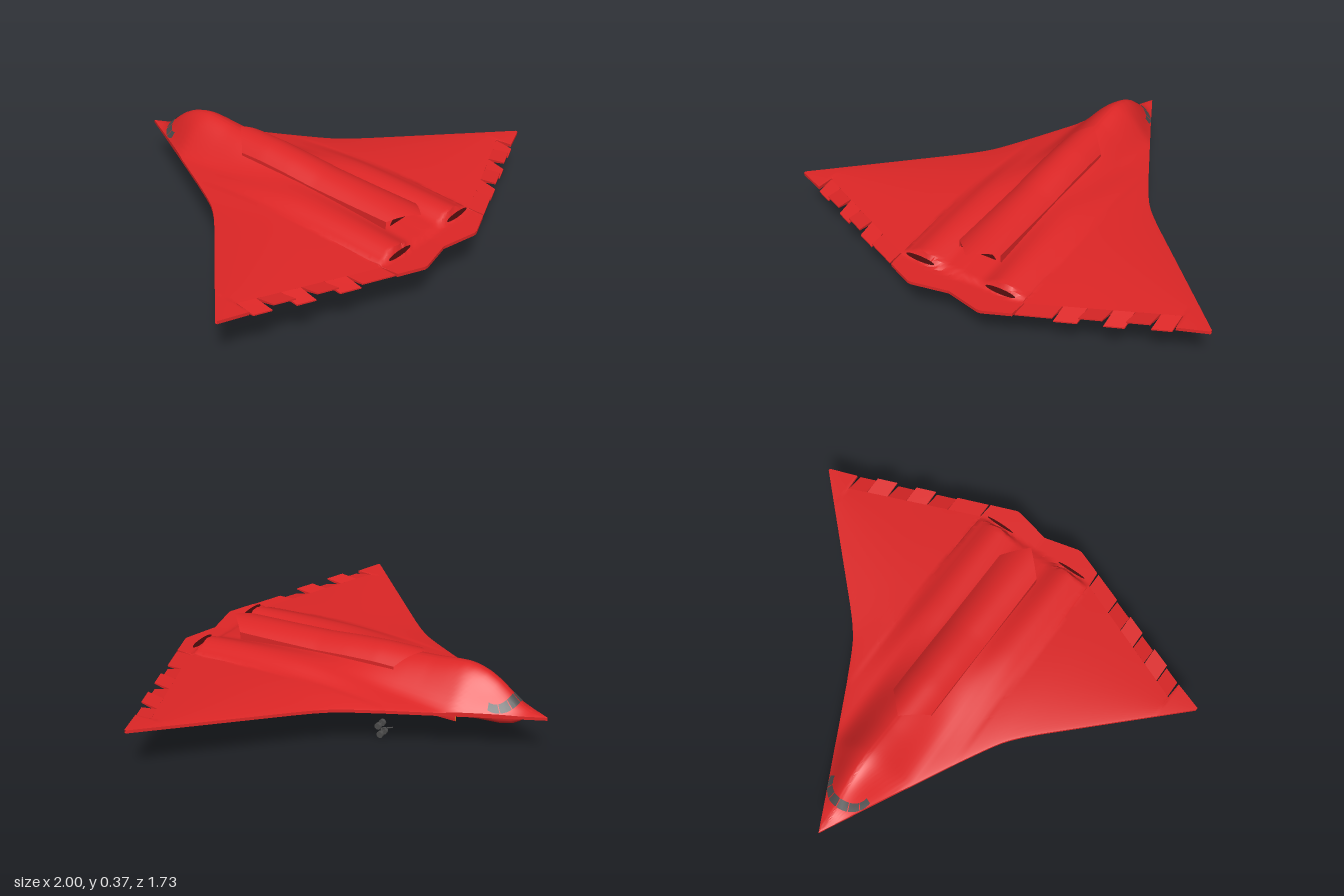
import * as THREE from 'three';
import { toCreasedNormals } from 'three/addons/utils/BufferGeometryUtils.js';

const { smoothstep } = THREE.MathUtils;
const paint = (color) => new THREE.MeshStandardMaterial({ color, side: THREE.DoubleSide });
const RED = paint(0xdd2626), DARK = paint(0x5a1010), GREY = paint(0x4c4c4c), YELLOW = paint(0xc8b820);

// Piecewise-linear lookup through [position, value] pairs
function lookup(points, t) {
  if (t <= points[0][0]) return points[0][1];
  for (let i = 1; i < points.length; i++) {
    const [a, va] = points[i - 1], [b, vb] = points[i];
    if (t <= b) return va + (vb - va) * (t - a) / (b - a);
  }
  return points[points.length - 1][1];
}

// Skin over a row of equal-length rings; closed rings wrap round, caps fill the ends
function loft(rings, { closed = true, caps = false, crease = 0.6 } = {}) {
  const n = rings[0].length, index = [], pos = rings.flat(2);
  for (let i = 0; i < rings.length - 1; i++) {
    for (let j = 0; j < (closed ? n : n - 1); j++) {
      const a = i * n + j, b = i * n + (j + 1) % n;
      index.push(a, b, a + n, b, b + n, a + n);
    }
  }
  if (caps) {
    const last = (rings.length - 1) * n;
    for (let j = 1; j < n - 1; j++) index.push(0, j + 1, j, last, last + j, last + j + 1);
  }
  const g = new THREE.BufferGeometry();
  g.setAttribute('position', new THREE.Float32BufferAttribute(pos, 3));
  g.setIndex(index);
  return toCreasedNormals(g, crease);
}

// Planform: leading and trailing edge by distance from the centreline
const LEAD = [[0, -0.87], [0.1, -0.67], [0.2, -0.475], [0.3, -0.28], [0.37, -0.15],
  [0.41, -0.085], [0.46, -0.025], [0.52, 0.037], [1, 0.51]];
const TRAIL = [[0, 0.82], [0.17, 0.86], [0.293, 0.81], [0.298, 0.735], [0.87, 0.49], [0.876, 0.566], [1, 0.52]];
const LEAD_X = LEAD.map(([x, z]) => [z, x]);
const hinge = (x) => 0.735 - (x - 0.298) * 0.428;
const trailLine = (x) => 0.81 - (x - 0.293) * 0.41;

// Centreline heights of the body and of the spine fairing
const BODY = [[-0.87, 0.21], [-0.79, 0.215], [-0.75, 0.23], [-0.7, 0.27], [-0.65, 0.305], [-0.6, 0.33], [-0.55, 0.344],
  [-0.5, 0.35], [-0.45, 0.347], [-0.35, 0.337], [-0.24, 0.333], [0.2, 0.3], [0.6, 0.265], [0.72, 0.255], [0.82, 0.25]];
const SPINE = [[-0.3, 0.367], [-0.1, 0.362], [0.05, 0.35], [0.2, 0.334], [0.4, 0.322], [0.7, 0.306]];

const underside = (x) => 0.193 + 0.027 * Math.abs(x);
const hump = (d) => Math.abs(d) < 1 ? (1 - d * d) ** 2 : 0;

// Height of the upper skin: aerofoil + cockpit dome + engine humps
function topSkin(xs, z) {
  const x = Math.abs(xs), z0 = lookup(LEAD, x), z1 = lookup(TRAIL, x);
  const v = Math.min(1, Math.max(0, (z - z0) / Math.max(z1 - z0, 0.01)));
  const tail = 1 - smoothstep(z, 0.715, 0.74);
  const foil = underside(x) + 0.014 + 0.048 * Math.pow(1 - x, 1.4) * Math.sin(Math.PI * Math.pow(v, 0.85)) * tail;
  const width = Math.min(0.2, lookup(LEAD_X, z) * 1.1 + 0.005);
  const centre = Math.max(0, lookup(BODY, z) - 0.215 - 0.035 * smoothstep(z, -0.7, 0));
  const engine = 0.036 * smoothstep(z, -0.3, 0.25) * hump((x - 0.19) / 0.11);
  return foil + (centre * hump(x / width) + engine) * tail;
}

export function createModel() {
  const model = new THREE.Group();
  const add = (name, geometry, material, parent = model) => {
    const mesh = new THREE.Mesh(geometry, material);
    mesh.name = name;
    parent.add(mesh);
    return mesh;
  };

  // Blended wing and body, one closed chordwise ring per column
  const half = [0.293, 0.298, 0.87, 0.876];
  for (let i = 1; i <= 48; i++) half.push(Math.pow(i / 48, 1.4));
  const columns = [...half.map((x) => -x), 0, ...half].sort((a, b) => a - b);
  const ROWS = 100;
  add('wingBody', loft(columns.map((x) => {
    const z0 = lookup(LEAD, Math.abs(x)), z1 = lookup(TRAIL, Math.abs(x));
    const top = [], bottom = [];
    for (let i = 0; i <= ROWS; i++) {
      const z = z0 + (z1 - z0) * i / ROWS;
      top.push([x, topSkin(x, z), z]);
      if (i % 10 === 0) bottom.unshift([x, underside(x), z]);
    }
    return [...top, ...bottom];
  })), RED);

  // Spine fairing: an arched shell with pointed ends and short side skirts
  const arch = [];
  for (let i = -8; i <= 8; i++) arch.push([i / 80, 0]);
  arch.unshift([-0.101, 0.035]);
  arch.push([0.101, 0.035]);
  add('spineFairing', loft(arch.map(([x, drop]) => {
    const a = Math.abs(x), strip = [];
    for (let i = 0; i <= 40; i++) {
      const z = -0.3 + a + (1 - 2 * a) * i / 40;
      strip.push([x, lookup(SPINE, z) - (5.5 - 2 * i / 40) * x * x - drop, z]);
    }
    return strip;
  }), { closed: false }), RED);

  // Wraparound cockpit windows laid on the dome
  const windows = new THREE.Group();
  windows.name = 'cockpitWindows';
  model.add(windows);
  for (let p = 0; p < 6; p++) {
    const rings = [];
    for (let i = 0; i <= 6; i++) {
      const a = -1.45 + 2.9 * (p + 0.04 + 0.92 * i / 6) / 6;
      rings.push([0, 0.33, 0.67, 1].map((t) => {
        const x = (0.085 + 0.02 * t) * Math.sin(a), z = -0.63 - (0.08 + 0.035 * t) * Math.cos(a);
        return [x, topSkin(x, z) + 0.004, z];
      }));
    }
    add('windowPane', loft(rings, { closed: false }), GREY, windows);
  }

  // Lower hull: [z, half width, bottom height, squareness, forward rake of the top]
  const hull = (sections) => loft(sections.map(([z, w, b, p, rake]) => {
    const ring = [];
    for (let i = 0; i <= 20; i++) {
      const t = Math.PI * i / 20, c = Math.cos(t);
      const s = Math.pow(Math.max(0, Math.sin(t)), p);
      ring.push([w * Math.sign(c) * Math.pow(Math.abs(c), p), 0.205 - (0.205 - b) * s, z - rake * (1 - s)]);
    }
    return ring;
  }), { caps: true });
  add('frontHull', hull([[-0.775, 0.02, 0.195, 0.8, 0], [-0.76, 0.04, 0.17, 0.8, 0], [-0.73, 0.055, 0.152, 0.75, 0],
    [-0.68, 0.068, 0.142, 0.7, 0], [-0.5, 0.09, 0.137, 0.65, 0], [-0.15, 0.1, 0.132, 0.6, 0]]), RED);
  add('engineHull', hull([[-0.18, 0.195, 0.132, 0.3, 0.06], [0, 0.2, 0.13, 0.3, 0], [0.42, 0.2, 0.13, 0.3, 0],
    [0.52, 0.198, 0.145, 0.32, 0], [0.63, 0.19, 0.168, 0.35, 0], [0.76, 0.18, 0.193, 0.4, 0]]), RED);

  for (const side of [-1, 1]) {
    const label = side > 0 ? 'left' : 'right';

    // Raked air intake and rear exhaust openings
    const intake = [[0.105, 0.192, -0.231], [0.182, 0.192, -0.231], [0.176, 0.14, -0.192], [0.105, 0.14, -0.192]]
      .map(([x, y, z]) => [x * side, y, z]);
    add(label + 'Intake', loft([[intake[0], intake[1]], [intake[3], intake[2]]], { closed: false }), DARK);
    const exhaust = add(label + 'Exhaust', new THREE.CircleGeometry(1, 24), DARK);
    exhaust.scale.set(0.07, 0.015, 1);
    exhaust.position.set(0.195 * side, 0.236, 0.744);

    // Trailing-edge flaps with alternating deflection
    [0.004, -0.012, 0.014, -0.014, 0.016, -0.008].forEach((lift, i) => {
      const edges = [0.3, 0.44, 0.53, 0.62, 0.7, 0.79, 0.868];
      const rings = [edges[i] + 0.002, edges[i + 1] - 0.002].map((x) => {
        const y = underside(x), h = hinge(x), t = trailLine(x);
        return [[x * side, y + 0.014, h], [x * side, y + 0.008 + lift, t], [x * side, y + 0.002 + lift, t], [x * side, y, h]];
      });
      add(label + 'Flap' + (i + 1), loft(rings, { caps: true }), RED);
    });

    // Open gear doors, red outside and yellow inside
    const door = (name, profile, z0, z1) => [[0, RED], [0.003, YELLOW]].forEach(([inset, material], k) => {
      const rings = [z0, z1].map((z) => profile.map(([x, y]) => [(x - inset) * side, y, z]));
      add(label + name + (k ? 'Lining' : ''), loft(rings, { closed: false }), material);
    });
    door('MainGearDoor', [[0.2, 0.175], [0.216, 0.155], [0.235, 0.115], [0.226, 0.08]], 0.06, 0.3);
    door('NoseGearDoor', [[0.033, 0.137], [0.04, 0.122], [0.037, 0.092]], -0.47, -0.31);
  }

  // Centre exhaust below the end of the spine
  const centreExhaust = add('centreExhaust', new THREE.CircleGeometry(0.085, 24, 0, Math.PI), DARK);
  centreExhaust.scale.y = 0.45;
  centreExhaust.position.set(0, 0.255, 0.61);

  // Landing gear: four-wheel bogies with a drag link
  const wheel = new THREE.CylinderGeometry(0.015, 0.015, 0.014, 16).rotateZ(Math.PI / 2);
  const rod = (name, a, b, r, parent) => {
    const from = new THREE.Vector3(...a), to = new THREE.Vector3(...b);
    const mesh = add(name, new THREE.CylinderGeometry(r, r, from.distanceTo(to), 8), GREY, parent);
    mesh.position.copy(from).add(to).multiplyScalar(0.5);
    mesh.quaternion.setFromUnitVectors(new THREE.Vector3(0, 1, 0), to.sub(from).normalize());
  };
  const bogie = (name, x, z, reach) => {
    const gear = new THREE.Group();
    gear.name = name;
    gear.position.set(x, 0, z);
    model.add(gear);
    for (const [y, dz] of [[0.017, -0.004], [0.055, 0.006]]) {
      for (const s of [-1, 1]) add('wheel', wheel, GREY, gear).position.set(0.018 * s, y, dz);
      rod('axle', [-0.02, y, dz], [0.02, y, dz], 0.004, gear);
    }
    rod('bogieBeam', [0, 0.017, -0.004], [0, 0.055, 0.006], 0.005, gear);
    rod('dragLink', [0, 0.036, 0], [0, 0.057, -reach], 0.003, gear);
  };
  bogie('noseGear', 0.165, -0.18, 0.055);
  bogie('rightMainGear', -0.005, 0.41, 0.105);
  bogie('leftMainGear', 0.333, 0.41, 0.105);
  rod('noseGearStrut', [0, 0.1, -0.4], [0, 0.14, -0.4], 0.006, model);

  return model;
}
